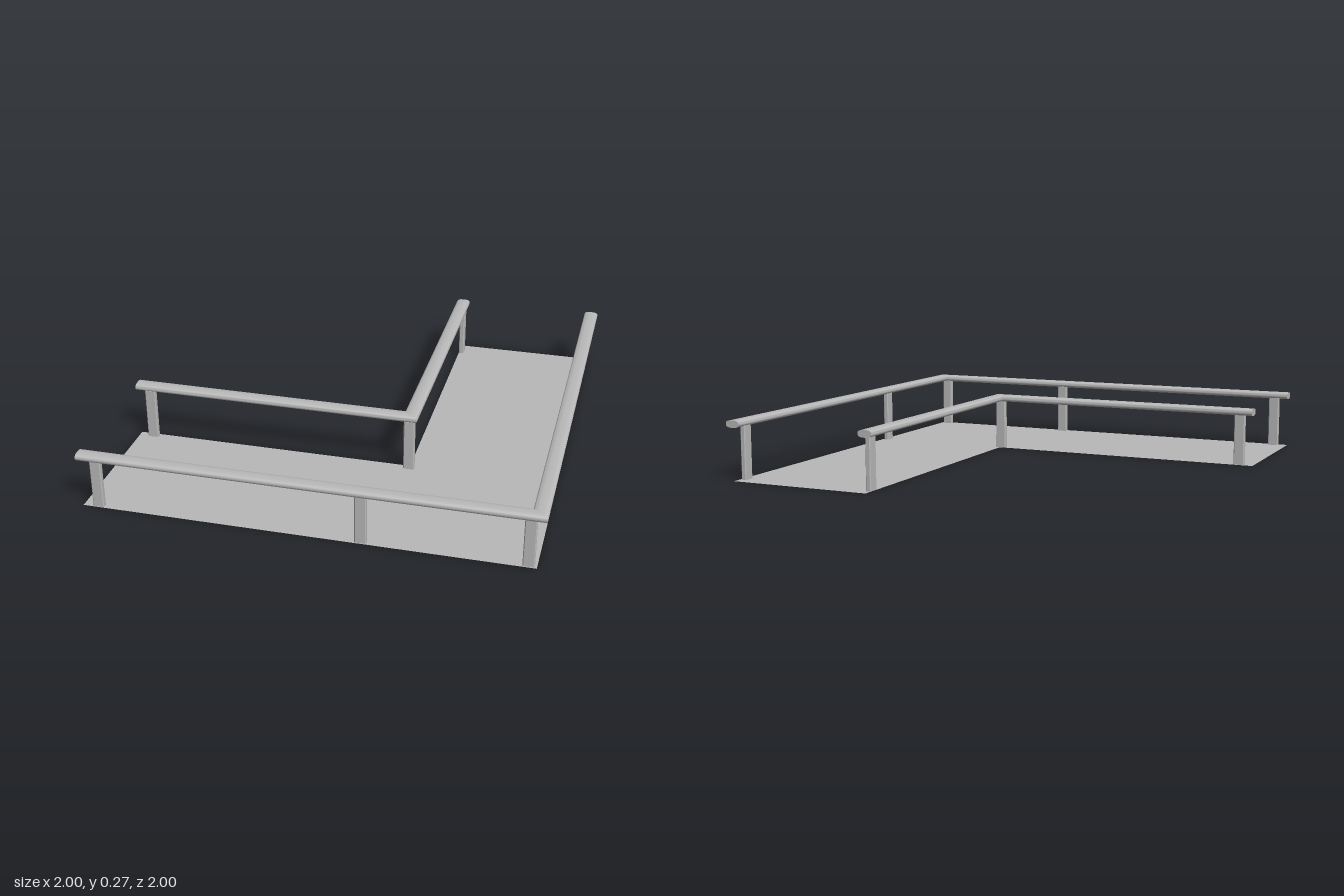
import * as THREE from 'three';
import { toCreasedNormals } from 'three/addons/utils/BufferGeometryUtils.js';

const OUTER = 0.967, INNER = 0.3;
const RAIL_Y = 0.252, RAIL_HALF_W = 0.0333, RAIL_HALF_H = 0.0165;

// L-shaped handrail: a rounded profile swept around one mitred corner
function railGeometry(c) {
  const n = 24, pos = [];
  const rings = [[], [], []];
  const power = (v) => Math.sign(v) * Math.pow(Math.abs(v), 0.75);
  for (let j = 0; j < n; j++) {
    const a = (j / n) * Math.PI * 2;
    const r = c + RAIL_HALF_W * power(Math.cos(a));
    const y = RAIL_Y + RAIL_HALF_H * power(Math.sin(a));
    rings[0].push([-1, y, r]);
    rings[1].push([r, y, r]);
    rings[2].push([r, y, -1]);
  }
  const tri = (...corners) => corners.forEach((p) => pos.push(...p));
  for (let j = 0; j < n; j++) {
    const k = (j + 1) % n;
    for (let i = 0; i < 2; i++) {
      const p = rings[i], q = rings[i + 1];
      tri(p[j], q[j], q[k]);
      tri(p[j], q[k], p[k]);
    }
    // end caps
    tri([-1, RAIL_Y, c], rings[0][j], rings[0][k]);
    tri([c, RAIL_Y, -1], rings[2][k], rings[2][j]);
  }
  const g = new THREE.BufferGeometry();
  g.setAttribute('position', new THREE.Float32BufferAttribute(pos, 3));
  return toCreasedNormals(g, 0.8);
}

// Flat upright with slightly chamfered edges, wide along x
function postGeometry() {
  const w = 0.025, d = 0.0125, b = 0.004, h = 0.24;
  const outline = [[-w + b, -d], [w - b, -d], [w, -d + b], [w, d - b],
    [w - b, d], [-w + b, d], [-w, d - b], [-w, -d + b]];
  const shape = new THREE.Shape(outline.map(([x, y]) => new THREE.Vector2(x, y)));
  const g = new THREE.ExtrudeGeometry(shape, { depth: h, bevelEnabled: false });
  return g.rotateX(-Math.PI / 2);
}

export function createModel() {
  const model = new THREE.Group();
  const grey = new THREE.MeshStandardMaterial({ name: 'grey', color: 0xb8b8b8 });
  const floorGrey = new THREE.MeshStandardMaterial({
    name: 'floorGrey', color: 0xb8b8b8, side: THREE.DoubleSide,
  });
  const add = (name, geometry, material) => {
    const mesh = new THREE.Mesh(geometry, material);
    mesh.name = name;
    model.add(mesh);
    return mesh;
  };

  // Floor sheet
  const corners = [[-1, OUTER], [OUTER, OUTER], [OUTER, -1], [INNER, -1], [INNER, INNER], [-1, INNER]];
  const floor = new THREE.Shape(corners.map(([x, z]) => new THREE.Vector2(x, -z)));
  add('floor', new THREE.ShapeGeometry(floor).rotateX(-Math.PI / 2), floorGrey);

  // Handrails
  add('outerRail', railGeometry(OUTER), grey);
  add('innerRail', railGeometry(INNER), grey);

  // Posts: x, z, and whether the wide side runs along z
  const post = postGeometry();
  const posts = [
    ['outerFrontEndPost', -0.932, 0.95, false],
    ['outerFrontMiddlePost', 0.232, 0.95, false],
    ['outerCornerPost', 0.932, 0.95, false],
    ['outerSideMiddlePost', 0.946, 0.305, true],
    ['outerSideEndPost', 0.946, -0.932, true],
    ['innerFrontEndPost', -0.932, 0.317, false],
    ['innerCornerPost', 0.298, 0.317, false],
    ['innerSideEndPost', 0.312, -0.932, true],
  ];
  for (const [name, x, z, turned] of posts) {
    const mesh = add(name, post, grey);
    mesh.position.set(x, 0, z);
    if (turned) mesh.rotation.y = Math.PI / 2;
  }
  return model;
}
